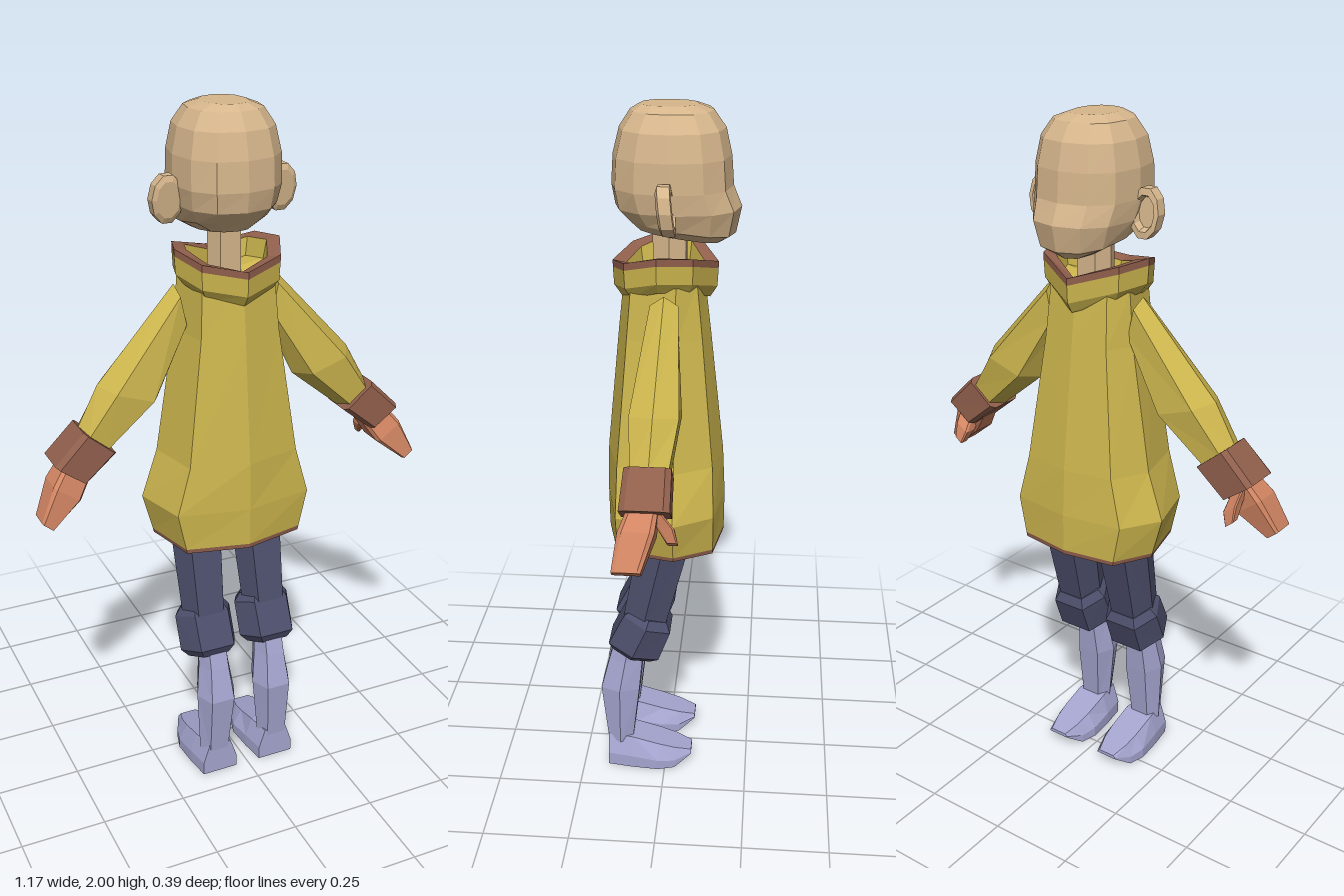
import * as THREE from 'three';

const mat = (name, color) => Object.assign(new THREE.MeshStandardMaterial({ color }), { name });

// Cross-sections, as multiples of two half-axes
const HEX = [[1, 0], [0.6, 1], [-0.6, 1], [-1, 0], [-0.6, -1], [0.6, -1]];
const BOX = [[1, 0.75], [0.8, 1], [-0.8, 1], [-1, 0.75], [-1, -0.75], [-0.8, -1], [0.8, -1], [1, -0.75]];
const round = (n, p = 1) => Array.from({ length: n }, (_, i) => {
  const f = (v) => Math.sign(v) * Math.abs(v) ** p, a = (i / n) * 2 * Math.PI;
  return [f(Math.cos(a)), f(Math.sin(a))];
});
const ring = (shape, c, u, v) => shape.map(([a, b]) => c.map((k, i) => k + a * u[i] + b * v[i]));

// Closed faceted skin through rings; mats gives one material, or one per band plus both caps
function loft(name, rings, mats, mirror = 1) {
  const n = rings[0].length, bands = [];
  const mean = (r) => [0, 1, 2].map((i) => r.reduce((s, p) => s + p[i], 0) / n);
  const first = rings[0], last = rings[rings.length - 1];
  const c0 = mean(first), c1 = mean(last);
  const cap0 = [], cap1 = [];
  for (let i = 0; i < n; i++) {
    const j = (i + 1) % n;
    cap0.push(c0, first[j], first[i]);
    cap1.push(c1, last[i], last[j]);
  }
  bands.push(cap0);
  for (let k = 0; k + 1 < rings.length; k++) {
    const band = [], a = rings[k], b = rings[k + 1];
    for (let i = 0; i < n; i++) {
      const j = (i + 1) % n;
      band.push(a[i], a[j], b[j], a[i], b[j], b[i]);
    }
    bands.push(band);
  }
  bands.push(cap1);
  const pts = bands.flat().map(([x, y, z]) => new THREE.Vector3(x * mirror, y, z));
  let volume = 0;
  for (let i = 0; i < pts.length; i += 3) volume += pts[i].dot(pts[i + 1].clone().cross(pts[i + 2]));
  if (volume < 0) for (let i = 0; i < pts.length; i += 3) [pts[i], pts[i + 1]] = [pts[i + 1], pts[i]];
  const g = new THREE.BufferGeometry().setFromPoints(pts);
  g.computeVertexNormals();
  if (Array.isArray(mats)) {
    let start = 0;
    bands.forEach((b, i) => { g.addGroup(start, b.length, i); start += b.length; });
  }
  const mesh = new THREE.Mesh(g, mats);
  mesh.name = name;
  return mesh;
}

export function createModel() {
  const model = new THREE.Group();
  model.name = 'hoodedCoatFigure';
  const skin = mat('skin', 0xd6b68c), coat = mat('coatYellow', 0xcdb64e), trim = mat('trimBrown', 0x905f4c);
  const glove = mat('gloveOrange', 0xd38663), trousers = mat('trousersNavy', 0x4d4f6c), boot = mat('bootLavender', 0xa5a5d0);
  const add = (...a) => model.add(loft(...a));

  // Head: [y, half width, face z, back z, tilt]
  add('head', [
    [2.0, 0.06, -0.08, 0.075, 0], [1.985, 0.1, -0.12, 0.1, 0], [1.94, 0.13, -0.152, 0.13, 0],
    [1.87, 0.145, -0.168, 0.148, 0], [1.79, 0.147, -0.174, 0.153, 0], [1.735, 0.138, -0.197, 0.143, 0],
    [1.69, 0.115, -0.182, 0.115, 0.15], [1.66, 0.06, -0.145, 0.085, 0.15],
  ].map(([y, w, f, b, t]) => ring(round(12, 0.85), [0, y + t * (f + b) / 2, (f + b) / 2],
    [w, 0, 0], [0, t * (b - f) / 2, (b - f) / 2])), skin);
  add('neck', [1.5, 1.7].map((y) => ring(HEX, [0, y, -0.005], [0.05, 0, 0], [0, 0, 0.045])), skin);

  // Coat body: [y, half width, back z, front z]
  const coatRing = ([y, w, b, f]) => [
    [0, y, b], [w * 0.82, y, b * 0.76], [w, y, -0.03], [w * 0.72, y, f * 0.85], [0, y, f],
    [-w * 0.72, y, f * 0.85], [-w, y, -0.03], [-w * 0.82, y, b * 0.76],
  ];
  add('coat', [
    [0.765, 0.215, 0.173, -0.163], [0.778, 0.218, 0.174, -0.164], [0.89, 0.248, 0.176, -0.165],
    [1.03, 0.2, 0.173, -0.158], [1.39, 0.142, 0.138, -0.118], [1.54, 0.13, 0.122, -0.1],
  ].map(coatRing), [trim, trim, coat, coat, coat, coat, coat]);

  // Turned-up collar with a dip at front and back, hollow inside
  const half = [[0, 1.58, 0.153], [0.115, 1.602, 0.11], [0.156, 1.627, 0.02], [0.125, 1.62, -0.075], [0, 1.582, -0.137]];
  const brim = [...half, ...half.slice(1, 4).reverse().map(([x, y, z]) => [-x, y, z])];
  const collar = (s, d) => brim.map(([x, y, z]) => [x * s, y - d, z * s]);
  add('collar', [collar(0.84, 0.1), collar(0.98, 0.07), collar(1, 0.02), collar(1, 0), collar(0.76, 0.008), collar(0.7, 0.06)],
    [coat, coat, coat, trim, trim, coat, coat]);

  for (const [side, m] of [['left', 1], ['right', -1]]) {
    const part = (name, rings, material) => add(side + name, rings, material, m);

    // Ear: a disc hollowed on the face side
    part('Ear', [[0.015, 0.75], [0.008, 1], [-0.024, 1], [-0.026, 0.72], [-0.006, 0.6]].map(([z, s]) =>
      ring(round(10), [0.166, 1.757, z], [0.045 * s, 0, 0], [0, 0.068 * s, 0.008 * s])), skin);

    // Arm: [centre], [half-axis across], half depth
    const arm = (shape, list) => list.map(([c, u, d]) => ring(shape, c, [...u, 0], [0, 0, d]));
    part('Sleeve', arm(HEX, [
      [[0.138, 1.457, 0], [0.014, 0.068], 0.038],
      [[0.296, 1.243, 0.01], [0.088, 0.03], 0.066],
      [[0.405, 1.122, 0.015], [0.042, 0.036], 0.05],
    ]), coat);
    part('Cuff', arm(BOX, [
      [[0.4, 1.128, 0.018], [0.045, 0.038], 0.062],
      [[0.487, 1.05, 0.02], [0.043, 0.032], 0.066],
    ]), trim);
    part('Hand', arm(BOX, [
      [[0.455, 1.065, 0.022], [0.034, 0.024], 0.038],
      [[0.503, 1.0, 0.04], [0.037, 0.027], 0.048],
      [[0.567, 0.92, 0.062], [0.016, 0.013], 0.038],
    ]), glove);
    part('Thumb', arm(BOX, [
      [[0.478, 1.045, 0.0], [0.02, 0.016], 0.025],
      [[0.475, 1.005, -0.032], [0.02, 0.014], 0.022],
      [[0.482, 0.965, -0.05], [0.012, 0.01], 0.014],
    ]), glove);

    // Leg: [x, y, z], half width, half depth, forward slope
    const leg = (shape, list) => list.map(([c, w, d, t]) => ring(shape, c, [w, 0, 0], [0, d * t, d]));
    part('Thigh', leg(HEX, [
      [[0.096, 0.8, -0.002], 0.08, 0.075, 0], [[0.098, 0.5, 0.065], 0.066, 0.06, 0.3],
    ]), trousers);
    part('KneeRoll', leg(HEX, [
      [[0.097, 0.535, 0.045], 0.068, 0.05, 0.4], [[0.097, 0.512, 0.052], 0.088, 0.068, 0.4],
      [[0.097, 0.417, 0.093], 0.088, 0.074, 0.35], [[0.097, 0.395, 0.1], 0.066, 0.055, 0.35],
    ]), trousers);
    part('BootShaft', leg(HEX, [
      [[0.092, 0.43, 0.108], 0.045, 0.045, 0], [[0.092, 0.37, 0.12], 0.047, 0.05, 0],
      [[0.092, 0.27, 0.137], 0.06, 0.058, 0], [[0.097, 0.08, 0.138], 0.048, 0.037, 0],
    ]), boot);
    // Foot: sections from heel to toe as [z, top y, bottom y, half width at top, at sole]
    part('Foot', [
      [0.175, 0.1, 0, 0.035, 0.055], [0.1, 0.098, 0, 0.046, 0.066],
      [0.02, 0.076, 0, 0.045, 0.072], [-0.03, 0.062, 0, 0.04, 0.058], [-0.08, 0.047, 0.036, 0.026, 0.034],
    ].map(([z, t, b, w, s]) => {
      const h = b + (t - b) * 0.4, r = [[w, t], [s, h], [s, b]];
      return [...r, ...r.map(([x, y]) => [-x, y]).reverse()].map(([x, y]) => [0.094 + x, y, z]);
    }), boot);
  }
  return model;
}
